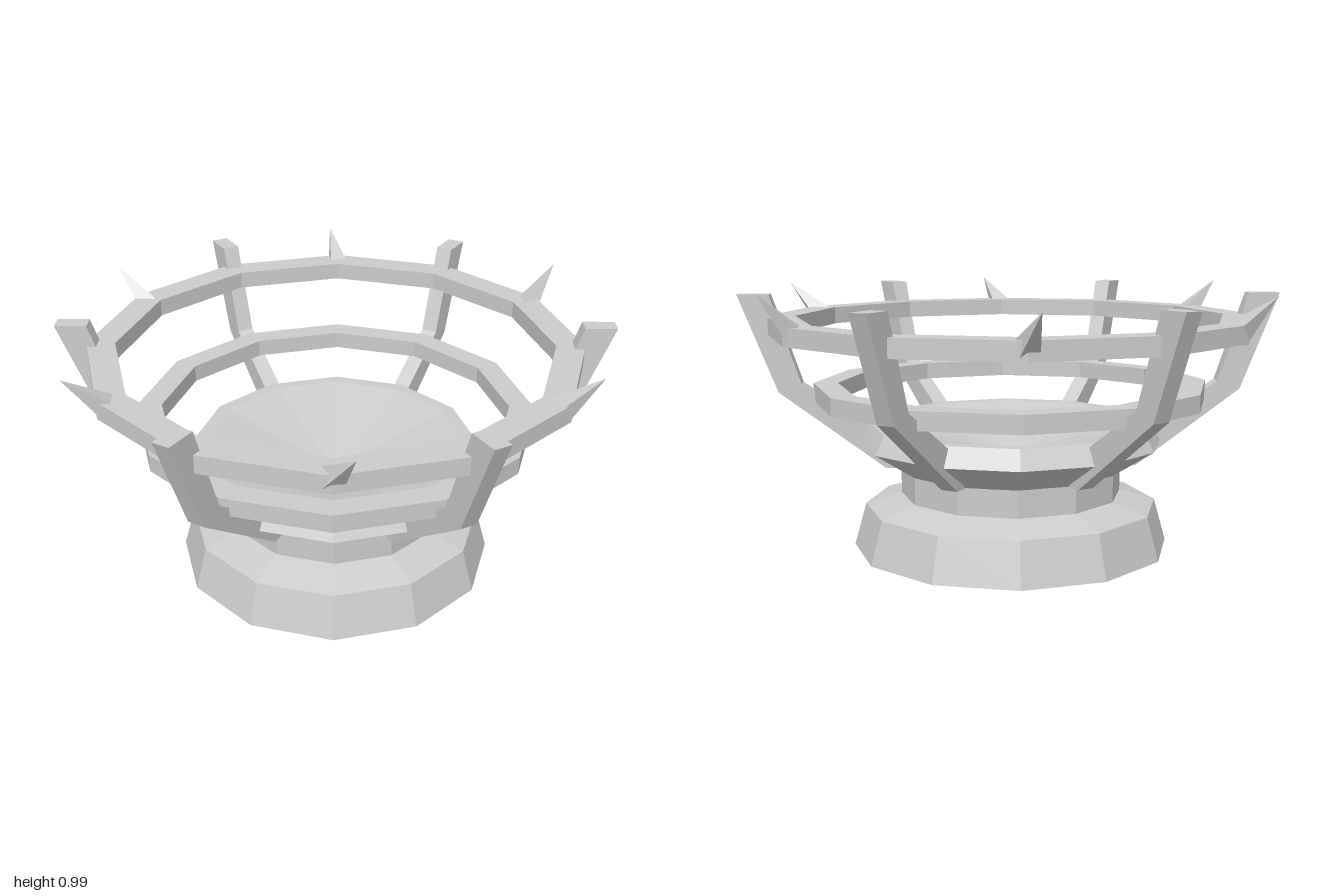
import * as THREE from 'three';

const SIDES = 12;
const material = new THREE.MeshStandardMaterial({ color: 0xcccccc, flatShading: true });

function addMesh(parent, name, geometry) {
  const mesh = new THREE.Mesh(geometry, material);
  mesh.name = name;
  parent.add(mesh);
  return mesh;
}

// Twelve-sided turned part from [radius, height] pairs
function turned(profile) {
  return new THREE.LatheGeometry(profile.map(([r, y]) => new THREE.Vector2(r, y)), SIDES);
}

// Flat hoop with a rectangular section
function hoop(inner, outer, low, high) {
  return turned([[inner, low], [outer, low], [outer, high], [inner, high], [inner, low]]);
}

export function createModel() {
  const model = new THREE.Group();
  model.name = 'brazier';

  // Foot and neck
  addMesh(model, 'pedestal', turned([[0, 0], [0.595, 0], [0.55, 0.16], [0.415, 0.2], [0.415, 0.3]]));

  // Shallow bowl with a flat lip and a sunken floor
  addMesh(model, 'bowl', turned([[0.415, 0.3], [0.57, 0.4], [0.535, 0.47], [0.49, 0.47], [0, 0.35]]));

  // Hoops
  addMesh(model, 'lowerHoop', hoop(0.645, 0.735, 0.555, 0.62));
  addMesh(model, 'upperHoop', hoop(0.795, 0.9, 0.805, 0.87));

  // Bent uprights, drawn as radius against height
  const width = 0.064;
  const outline = [[0.42, 0.3], [0.47, 0.3], [0.86, 0.59], [1, 0.95], [0.885, 0.95], [0.775, 0.62], [0.42, 0.39]];
  const postShape = new THREE.Shape(outline.map(([r, y]) => new THREE.Vector2(r, y)));
  const postGeometry = new THREE.ExtrudeGeometry(postShape, { depth: width, bevelEnabled: false });
  postGeometry.translate(0, 0, -width / 2).rotateY(-Math.PI / 2);
  for (let i = 0; i < 6; i++) {
    addMesh(model, 'post', postGeometry).rotation.y = (i * Math.PI) / 3;
  }

  // Slightly uneven spikes on the upper hoop, between the uprights
  const spikeGeometry = new THREE.ConeGeometry(0.05, 1, 4);
  spikeGeometry.translate(0, 0.5, 0);
  const tips = [
    [0.545, 0.96, 0.8], [0.985, 0.97, -0.04], [0.485, 0.985, -0.865],
    [-0.525, 0.96, -0.84], [-0.995, 0.97, 0], [-0.51, 0.97, 0.865],
  ];
  const up = new THREE.Vector3(0, 1, 0);
  tips.forEach((point, i) => {
    const angle = Math.PI / 6 + (i * Math.PI) / 3;
    const base = new THREE.Vector3(0.855 * Math.sin(angle), 0.835, 0.855 * Math.cos(angle));
    const direction = new THREE.Vector3(...point).sub(base);
    const spike = addMesh(model, 'spike', spikeGeometry);
    spike.position.copy(base);
    spike.scale.y = direction.length();
    spike.quaternion.setFromUnitVectors(up, direction.normalize());
  });

  return model;
}
